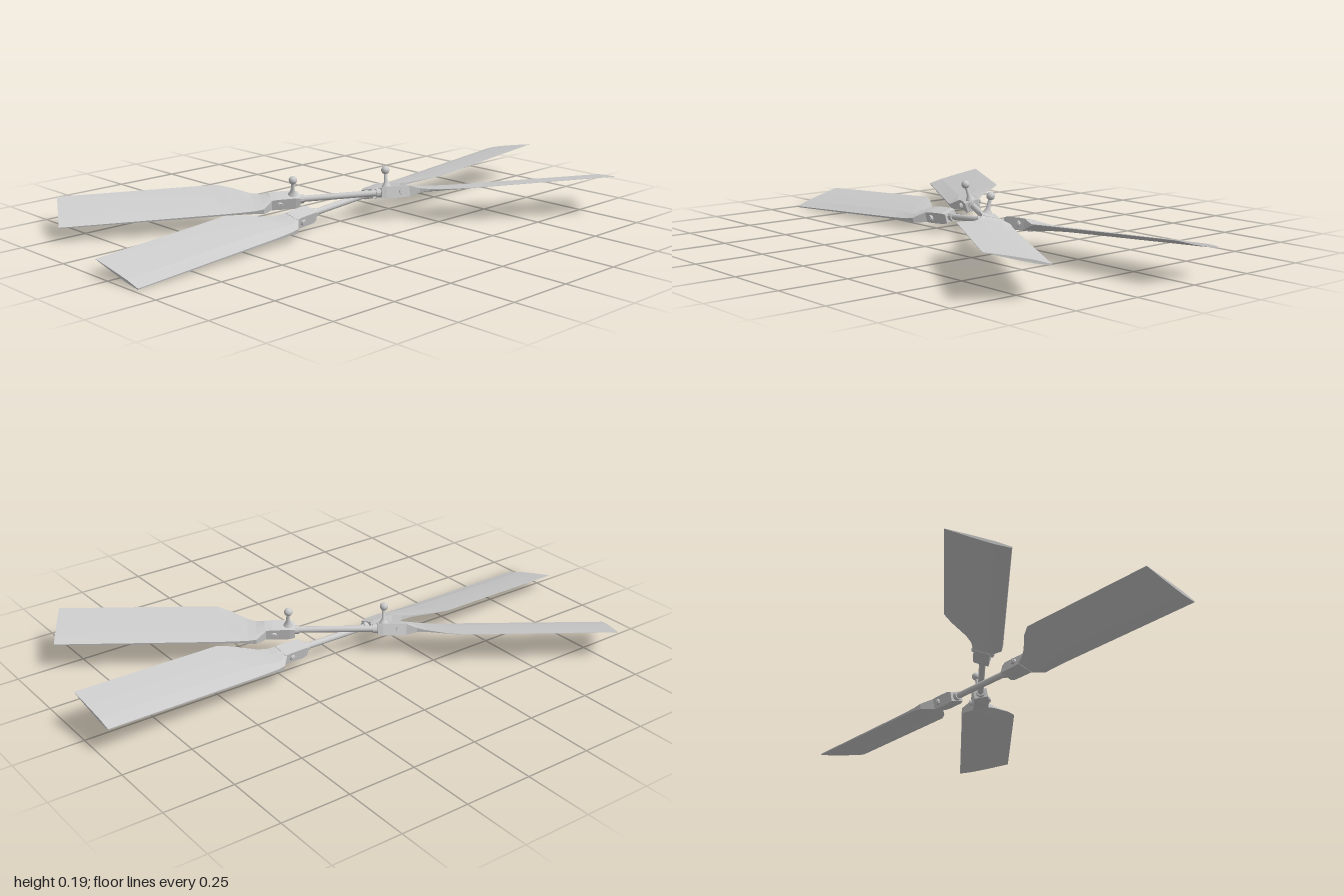
import * as THREE from 'three';

const mat = new THREE.MeshStandardMaterial({ color: 0xcccccc, flatShading: true });
const smooth = new THREE.MeshStandardMaterial({ color: 0xcccccc });

function add(parent, name, geometry, material = mat) {
  const mesh = new THREE.Mesh(geometry, material);
  mesh.name = name;
  parent.add(mesh);
  return mesh;
}

// Skins a row of closed sections along +z; station = [z, x0, x1, halfThickness, boxiness]
function loft(stations) {
  const across = [0, 0.4, 0.75, 1];
  const foil = [0.1, 0.75, 1, 0.4];
  const pos = [], idx = [], n = across.length * 2;
  for (const [z, x0, x1, h, box] of stations) {
    const point = (i, side) => pos.push(
      THREE.MathUtils.lerp(x0, x1, across[i]), side * h * THREE.MathUtils.lerp(foil[i], 1, box), z);
    for (let i = 3; i >= 0; i--) point(i, 1);
    for (let i = 0; i < 4; i++) point(i, -1);
  }
  const last = (stations.length - 1) * n;
  for (let k = 0; k < last; k += n) {
    for (let j = 0; j < n; j++) {
      const a = k + j, b = k + (j + 1) % n;
      idx.push(a, b, b + n, a, b + n, a + n);
    }
  }
  for (let j = 1; j < n - 1; j++) {
    idx.push(0, j + 1, j, last, last + j, last + j + 1);
  }
  const g = new THREE.BufferGeometry();
  g.setAttribute('position', new THREE.Float32BufferAttribute(pos, 3));
  g.setIndex(idx);
  const flat = g.toNonIndexed();
  flat.computeVertexNormals();
  return flat;
}

// One pitched blade with its grip, reaching along +z
function makeBlade(withBall) {
  const blade = new THREE.Group();
  blade.name = 'bladeAssembly';
  blade.rotation.z = -0.25;

  add(blade, 'blade', loft([
    [0.25, -0.029, 0.03, 0.019, 1],
    [0.285, -0.042, 0.066, 0.014, 0.5],
    [0.315, -0.062, 0.067, 0.011, 0.2],
    [0.38, -0.115, 0.067, 0.009, 0],
    [0.425, -0.14, 0.067, 0.008, 0],
    [0.988, -0.14, 0.067, 0.005, 0],
  ]));
  add(blade, 'grip', loft([
    [0.148, -0.025, 0.025, 0.017, 1],
    [0.165, -0.028, 0.028, 0.021, 1],
    [0.23, -0.029, 0.029, 0.021, 1],
    [0.255, -0.029, 0.03, 0.019, 1],
  ]));

  const collar = add(blade, 'gripCollar', new THREE.CylinderGeometry(0.016, 0.016, 0.02, 12));
  collar.rotation.x = Math.PI / 2;
  collar.position.z = 0.142;

  // Bolt through the grip with a round head at each end
  const bolt = add(blade, 'gripBolt', new THREE.CylinderGeometry(0.006, 0.006, 0.08, 10));
  bolt.rotation.z = Math.PI / 2;
  bolt.position.z = 0.222;
  for (const side of [-1, 1]) {
    const head = add(blade, 'boltHead', new THREE.CylinderGeometry(0.011, 0.011, 0.009, 10));
    head.rotation.z = Math.PI / 2;
    head.position.set(side * 0.034, 0, 0.222);
  }

  // Upright ball stud
  if (withBall) {
    const profile = [[0.018, 0.018], [0.014, 0.027], [0.0075, 0.038], [0.006, 0.072]]
      .map(([x, y]) => new THREE.Vector2(x, y));
    const stud = add(blade, 'ballStud', new THREE.LatheGeometry(profile, 12), smooth);
    const ball = add(blade, 'linkBall', new THREE.SphereGeometry(0.015, 14, 10), smooth);
    stud.position.z = 0.172;
    ball.position.set(0, 0.08, 0.172);
  }
  return blade;
}

// Two opposite blades joined by a spindle
function makePair(name, yaw, height, withBalls) {
  const pair = new THREE.Group();
  pair.name = name;
  pair.position.y = height;
  pair.rotation.y = yaw;
  const spindle = add(pair, 'spindle', new THREE.CylinderGeometry(0.0115, 0.0115, 0.3, 12), smooth);
  spindle.rotation.x = Math.PI / 2;
  for (const turn of [0, Math.PI]) {
    const arm = new THREE.Group();
    arm.name = 'bladeArm';
    arm.rotation.y = turn;
    arm.add(makeBlade(withBalls));
    pair.add(arm);
  }
  return pair;
}

export function createModel() {
  const model = new THREE.Group();
  model.name = 'rotor';
  // The whole disc leans slightly forward and to one side
  const disc = new THREE.Group();
  disc.name = 'rotorDisc';
  disc.rotation.set(0.045, 0, -0.024);
  disc.add(makePair('lowerPair', 0.07, 0.07, false));
  disc.add(makePair('upperPair', -0.557, 0.099, true));
  model.add(disc);
  return model;
}
